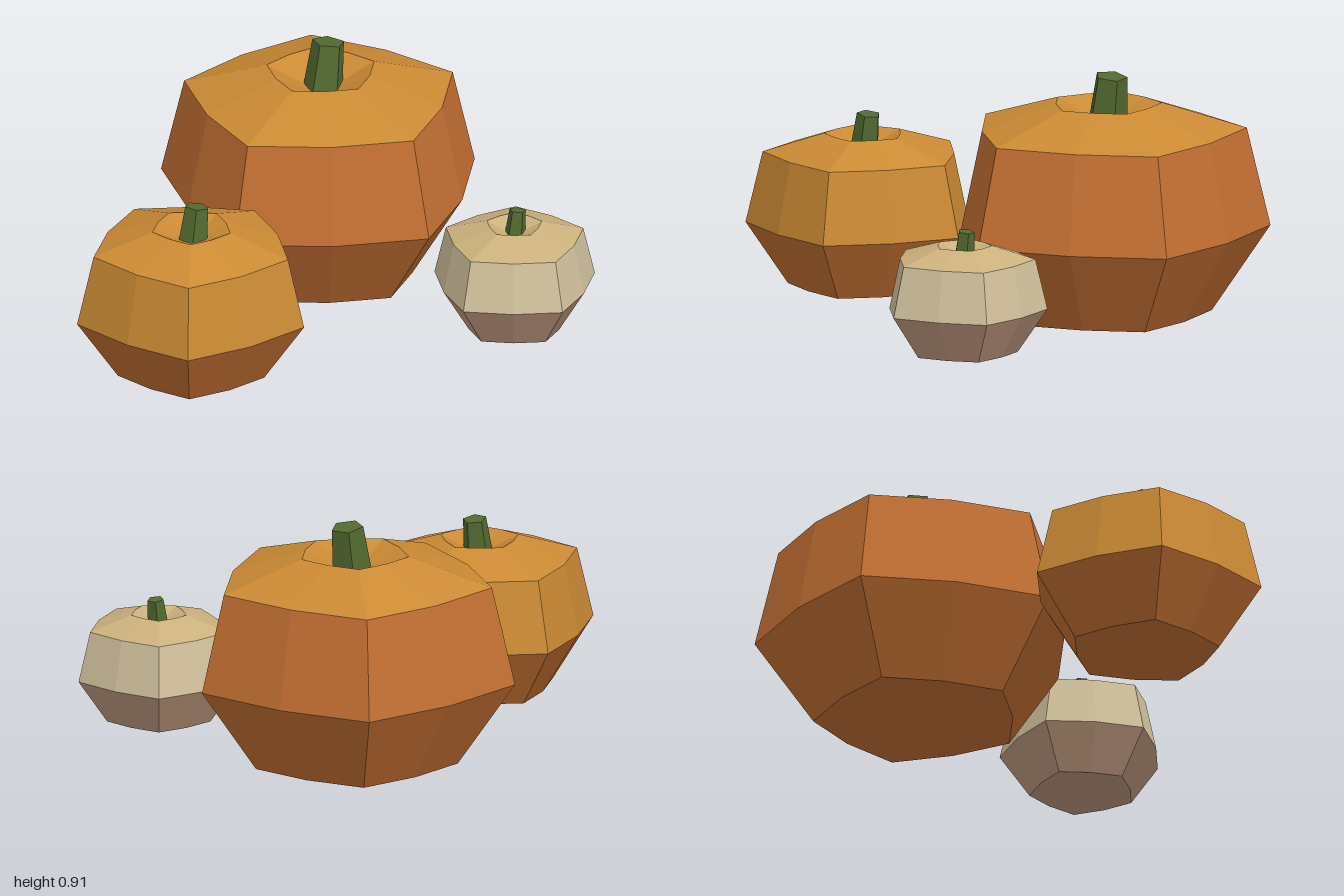
import * as THREE from 'three';

const paint = (name, color) => {
  const m = new THREE.MeshStandardMaterial({ color, flatShading: true });
  m.name = name;
  return m;
};

// Profile of the largest pumpkin as [radius, height], from the hollow base to the hollow crown
const PROFILE = [[0, 0.07], [0.395, 0], [0.613, 0.32], [0.525, 0.69], [0.21, 0.79], [0, 0.7]];
const RIBS = 5;

// Ring of five rib corners with slightly sunken points between them
function ring([radius, y], turn) {
  return Array.from({ length: RIBS * 2 }, (_, i) => {
    const a = turn + (i * Math.PI) / RIBS;
    const r = radius * (i % 2 ? 0.875 : 1);
    return new THREE.Vector3(Math.cos(a) * r, y, Math.sin(a) * r);
  });
}

// Skin joining consecutive rings of a profile
function skin(profile, turn) {
  const rings = profile.map((p) => ring(p, turn));
  const points = [];
  for (let k = 0; k < rings.length - 1; k++) {
    const lo = rings[k], hi = rings[k + 1];
    for (let i = 0; i < lo.length; i++) {
      const j = (i + 1) % lo.length;
      if (profile[k][0] > 0) points.push(lo[j], lo[i], hi[i]);
      if (profile[k + 1][0] > 0) points.push(lo[j], hi[i], hi[j]);
    }
  }
  // Where the lower ring is a single point, the second triangle alone fills the fan
  const g = new THREE.BufferGeometry().setFromPoints(points);
  g.computeVertexNormals();
  return g;
}

function part(name, geometry, material) {
  const mesh = new THREE.Mesh(geometry, material);
  mesh.name = name;
  return mesh;
}

function pumpkin(name, { x, z, scale, turn, lower, upper, crown, stem }) {
  const g = new THREE.Group();
  g.name = name;
  const a = THREE.MathUtils.degToRad(turn);
  g.add(part('lowerBody', skin(PROFILE.slice(0, 3), a), lower));
  g.add(part('upperBody', skin(PROFILE.slice(2, 4), a), upper));
  g.add(part('crown', skin(PROFILE.slice(3), a), crown));

  // Leaning five-sided stem, rooted in the hollow
  const s = new THREE.CylinderGeometry(0.062, 0.08, 0.22, RIBS);
  s.rotateY(Math.PI / 2 - a);
  s.translate(0, 0.11, 0);
  s.rotateX(-0.07);
  s.rotateZ(-0.12);
  s.translate(0.003, 0.68, 0);
  g.add(part('stem', s, stem));

  g.position.set(x, 0, z);
  g.scale.setScalar(scale);
  return g;
}

export function createModel() {
  const orange = paint('orange', 0xc47033);
  const gold = paint('gold', 0xcb8a34);
  const cream = paint('cream', 0xd2c19d);
  const straw = paint('straw', 0xcbb17c);
  const dustyTan = paint('dusty tan', 0xc0997f);
  const stem = paint('stem green', 0x536a30);

  const model = new THREE.Group();
  model.name = 'pumpkins';
  model.add(
    pumpkin('largePumpkin', { x: 0.1, z: -0.302, scale: 1, turn: -10.2, lower: orange, upper: orange, crown: gold, stem }),
    pumpkin('mediumPumpkin', { x: -0.56, z: 0.474, scale: 0.722, turn: 32, lower: orange, upper: gold, crown: gold, stem }),
    pumpkin('smallPumpkin', { x: 0.688, z: 0.356, scale: 0.51, turn: -4.8, lower: dustyTan, upper: cream, crown: straw, stem })
  );
  return model;
}
